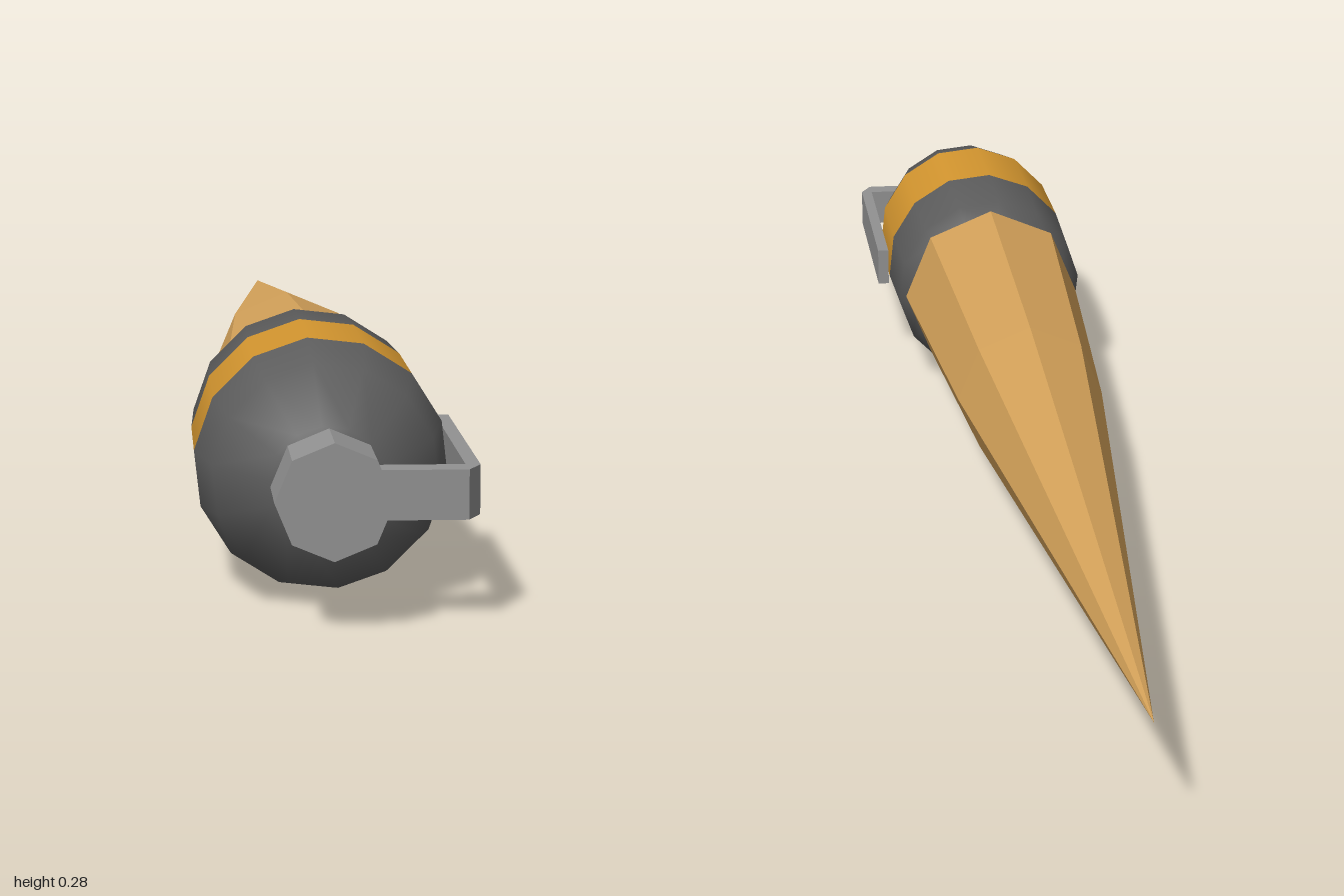
import * as THREE from 'three';

const CX = -0.01, CY = 0.145; // long axis of the model

const darkGrey = new THREE.MeshStandardMaterial({ color: 0x5c5c5c });
const orange = new THREE.MeshStandardMaterial({ color: 0xd4962f });
const tan = new THREE.MeshStandardMaterial({ color: 0xd3a159, flatShading: true });
const lightGrey = new THREE.MeshStandardMaterial({ color: 0x929292, flatShading: true });
darkGrey.name = 'dark grey';
orange.name = 'orange';
tan.name = 'tan';
lightGrey.name = 'light grey';

// Turned part along z from [radius, z] pairs, listed from back to front
function turned(name, profile, sides, material, start = 0) {
  const points = profile.map(([r, z]) => new THREE.Vector2(r, z));
  const geometry = new THREE.LatheGeometry(points, sides, start);
  geometry.rotateX(Math.PI / 2);
  const mesh = new THREE.Mesh(geometry, material);
  mesh.name = name;
  mesh.position.set(CX, CY, 0);
  return mesh;
}

export function createModel() {
  const model = new THREE.Group();
  model.name = 'spikedCanister';

  // Long faceted spike, slightly bulged, closed at its base
  model.add(turned('spike', [[0, -1], [0.1, 0], [0.13, 0.455], [0, 0.455]], 8, tan));

  // Fourteen-sided body in three colour bands
  const sides = 14, start = Math.PI / 28;
  model.add(turned('bodyBackEnd', [[0, 0.468], [0.113, 0.468]], sides, darkGrey, start));
  model.add(turned('bodyBack', [[0.113, 0.468], [0.138, 0.479], [0.143, 0.61]], sides, darkGrey, start));
  model.add(turned('bodyBand', [[0.143, 0.61], [0.143, 0.77]], sides, orange, start));
  model.add(turned('bodyFront', [[0.143, 0.77], [0.125, 0.85], [0.065, 0.908], [0, 0.908]], sides, darkGrey, start));

  // Octagonal neck
  model.add(turned('neck', [[0.063, 0.89], [0.063, 1], [0, 1]], 8, lightGrey));

  // Bent lever: outline in x and z, extruded in y
  const outline = [[0.03, 0.962], [0.135, 0.962], [0.15, 0.932], [0.15, 0.605],
    [0.134, 0.605], [0.134, 0.93], [0.03, 0.93]];
  const shape = new THREE.Shape(outline.map(([x, z]) => new THREE.Vector2(x, -z)));
  const leverGeometry = new THREE.ExtrudeGeometry(shape, { depth: 0.054, bevelEnabled: false });
  leverGeometry.rotateX(-Math.PI / 2);
  const lever = new THREE.Mesh(leverGeometry, lightGrey);
  lever.name = 'lever';
  lever.position.y = CY - 0.027;
  model.add(lever);

  return model;
}
